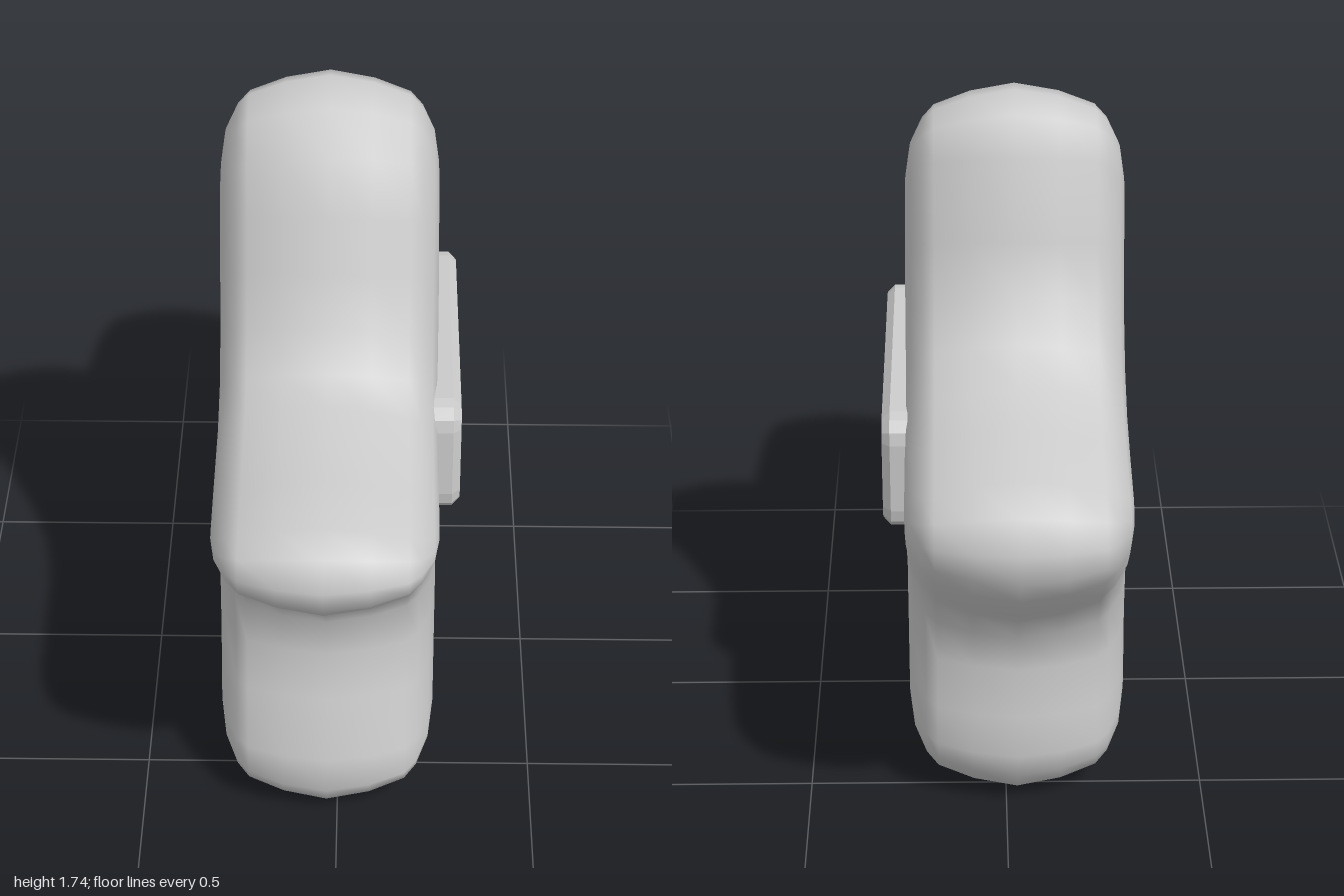
import * as THREE from 'three';

// Star outline, clockwise from the top arm
const OUTLINE = [
  [-0.03, 1.72], [0.09, 1.745], [0.18, 1.71], [0.235, 1.62], [0.28, 1.42], [0.33, 1.29], [0.4, 1.2],
  [0.51, 1.135], [0.66, 1.1], [0.86, 1.065], [0.96, 1.02], [1, 0.94], [0.99, 0.86], [0.94, 0.79],
  [0.83, 0.69], [0.7, 0.6], [0.63, 0.51], [0.615, 0.41], [0.63, 0.28], [0.64, 0.17], [0.62, 0.1],
  [0.57, 0.04], [0.46, 0.005], [0.36, 0.03], [0.25, 0.1], [0.12, 0.18], [0.01, 0.23], [-0.08, 0.235],
  [-0.17, 0.21], [-0.29, 0.13], [-0.37, 0.08], [-0.47, 0.04], [-0.58, 0.015], [-0.68, 0.045],
  [-0.72, 0.11], [-0.715, 0.21], [-0.66, 0.37], [-0.635, 0.5], [-0.64, 0.61], [-0.69, 0.68],
  [-0.8, 0.77], [-0.92, 0.87], [-0.98, 0.93], [-1, 1], [-0.96, 1.07], [-0.88, 1.1], [-0.72, 1.115],
  [-0.45, 1.13], [-0.36, 1.165], [-0.29, 1.25], [-0.235, 1.37], [-0.18, 1.5], [-0.12, 1.63],
];

// Half of the pillow section: depth, scale towards the centre, inset along the normal
const SECTION = [
  [0, 1, 0], [0.11, 0.995, 0.015], [0.2, 0.985, 0.04], [0.23, 0.97, 0.06],
  [0.26, 0.92, 0.08], [0.272, 0.84, 0.09], [0.276, 0.55, 0.05], [0.278, 0, 0],
];

function pillowGeometry() {
  const pts = OUTLINE.map(([x, y]) => new THREE.Vector2(x, y)).reverse();
  const n = pts.length;
  const centre = new THREE.Vector2(0.02, 0.83);
  const rings = [
    ...SECTION.slice(1).reverse().map(([z, s, d]) => [-z, s, d]),
    ...SECTION,
  ];
  const pos = [], index = [];
  rings.forEach(([z, s, d], r) => {
    for (let i = 0; i < n; i++) {
      const t = pts[(i + 1) % n].clone().sub(pts[(i + n - 1) % n]).normalize();
      const p = pts[i].clone().sub(centre).multiplyScalar(s).add(centre);
      pos.push(p.x - t.y * d, p.y + t.x * d, z);
      if (r === rings.length - 1) continue;
      const j = (i + 1) % n;
      const a = r * n + i, b = r * n + j, c = b + n, e = a + n;
      if (r > 0) index.push(a, b, c);
      else index.push(a, c, e);
      if (r > 0 && r < rings.length - 2) index.push(a, c, e);
    }
  });
  const g = new THREE.BufferGeometry();
  g.setAttribute('position', new THREE.Float32BufferAttribute(pos, 3));
  g.setIndex(index);
  g.computeVertexNormals();
  return g;
}

// Rounded rectangle centred on the origin
function roundedRect(w, h, r) {
  const s = new THREE.Shape();
  const x = w / 2, y = h / 2;
  s.moveTo(-x + r, -y);
  s.lineTo(x - r, -y).quadraticCurveTo(x, -y, x, -y + r);
  s.lineTo(x, y - r).quadraticCurveTo(x, y, x - r, y);
  s.lineTo(-x + r, y).quadraticCurveTo(-x, y, -x, y - r);
  s.lineTo(-x, -y + r).quadraticCurveTo(-x, -y, -x + r, -y);
  return s;
}

export function createModel() {
  const group = new THREE.Group();
  group.name = 'starCushion';

  // Soft star body
  const body = new THREE.Mesh(pillowGeometry(), new THREE.MeshStandardMaterial({ color: 0xcccccc }));
  body.name = 'starBody';
  body.position.z = -0.0275;

  // Bevelled plate on the side, slightly tilted
  const plateGeometry = new THREE.ExtrudeGeometry(roundedRect(0.78, 0.27, 0.045), {
    depth: 0.06, bevelEnabled: true, bevelThickness: 0.02, bevelSize: 0.02, bevelSegments: 1, curveSegments: 3,
  });
  const plate = new THREE.Mesh(plateGeometry,
    new THREE.MeshStandardMaterial({ color: 0xcccccc, flatShading: true }));
  plate.name = 'sidePlate';
  plate.position.set(0.042, 0.88, 0.225);
  plate.rotation.z = -0.045;

  // Modelled facing +z, then turned so the plate faces +x
  const turned = new THREE.Group();
  turned.name = 'star';
  turned.add(body, plate);
  turned.rotation.y = Math.PI / 2;
  group.add(turned);
  return group;
}
